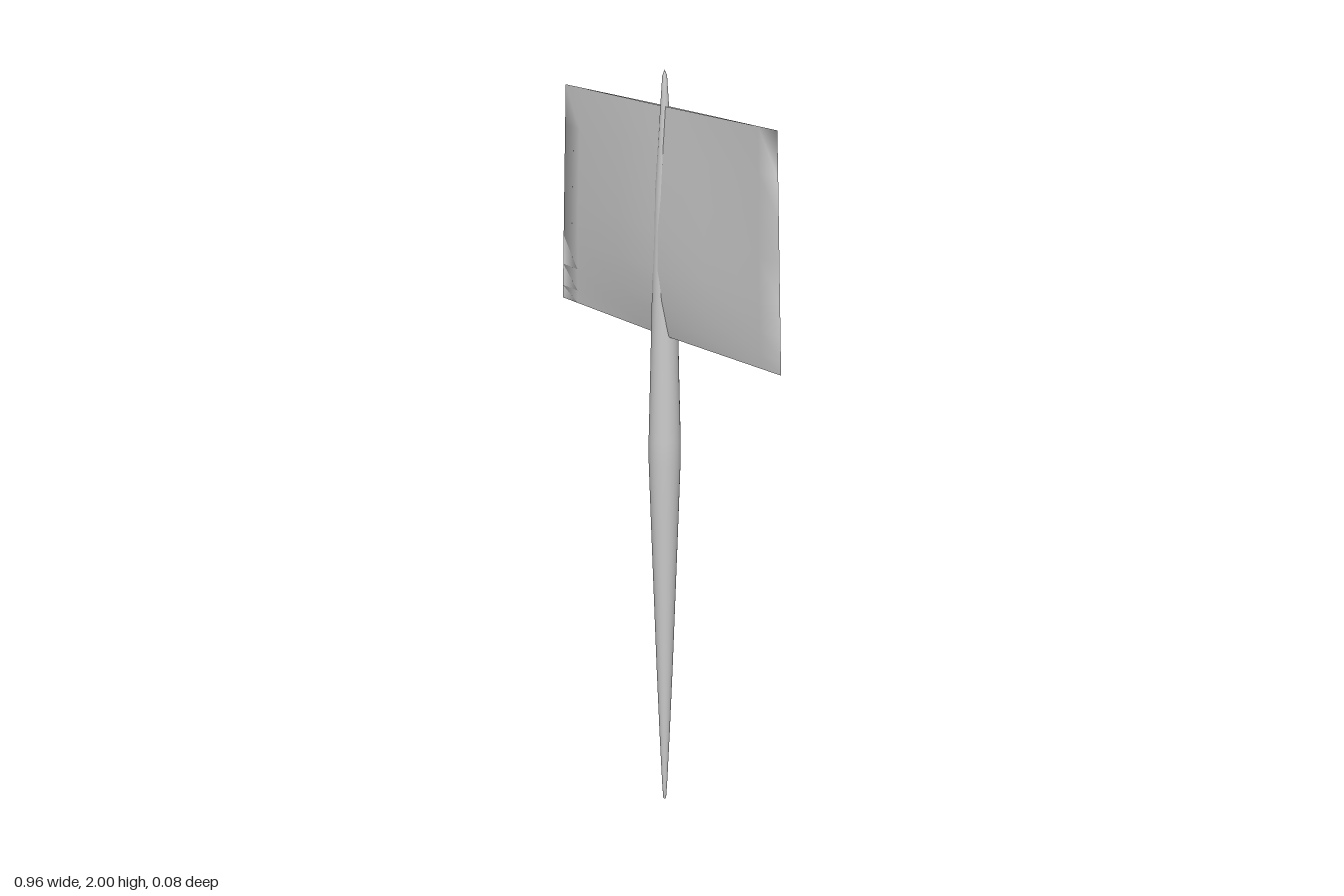
import * as THREE from 'three';

const material = new THREE.MeshStandardMaterial({ color: 0xcccccc, side: THREE.DoubleSide });

// Slender round shaft pointed at both ends
function makeShaft() {
  const profile = [
    [0, 0], [0.004, 0.003], [0.007, 0.05], [0.014, 0.2], [0.022, 0.4], [0.029, 0.6],
    [0.036, 0.8], [0.042, 0.98], [0.042, 1.04], [0.038, 1.2], [0.035, 1.33],
    [0.031, 1.5], [0.024, 1.7], [0.014, 1.86], [0.009, 1.94], [0.006, 1.985], [0, 2],
  ].map(([r, y]) => new THREE.Vector2(r, y));
  const mesh = new THREE.Mesh(new THREE.LatheGeometry(profile, 24), material);
  mesh.name = 'shaft';
  return mesh;
}

// Hollow vane: diamond cross-sections joined in rows, open at top and bottom
function makeVane() {
  // height, half width, half thickness at the centre
  const rows = [
    [1.325, 0.48, 0.011], [1.36, 0.478, 0.018], [1.42, 0.475, 0.026], [1.5, 0.471, 0.03],
    [1.6, 0.466, 0.027], [1.7, 0.461, 0.021], [1.8, 0.456, 0.014], [1.91, 0.45, 0.005],
  ];
  const across = [1, 0.84, 0.4, 0, -0.4, -0.84];
  // one closed loop: front from left to right, then back again behind
  const loop = [
    ...across.map((f) => [f, 1 - Math.abs(f)]),
    ...across.map((f) => [-f, Math.abs(f) - 1]),
  ];
  const n = loop.length;
  const positions = [];
  const index = [];
  rows.forEach(([y, w, t], r) => {
    loop.forEach(([fx, fz], i) => {
      positions.push(fx * w, y, fz * t);
      if (r === 0) return;
      const j = (i + 1) % n;
      const a = (r - 1) * n + i, b = (r - 1) * n + j;
      const c = r * n + j, d = r * n + i;
      index.push(a, c, b, a, d, c);
    });
  });
  const geometry = new THREE.BufferGeometry();
  geometry.setAttribute('position', new THREE.Float32BufferAttribute(positions, 3));
  geometry.setIndex(index);
  geometry.computeVertexNormals();
  const mesh = new THREE.Mesh(geometry, material);
  mesh.name = 'vane';
  return mesh;
}

export function createModel() {
  const group = new THREE.Group();
  group.name = 'vanedShaft';
  group.add(makeShaft(), makeVane());
  return group;
}
